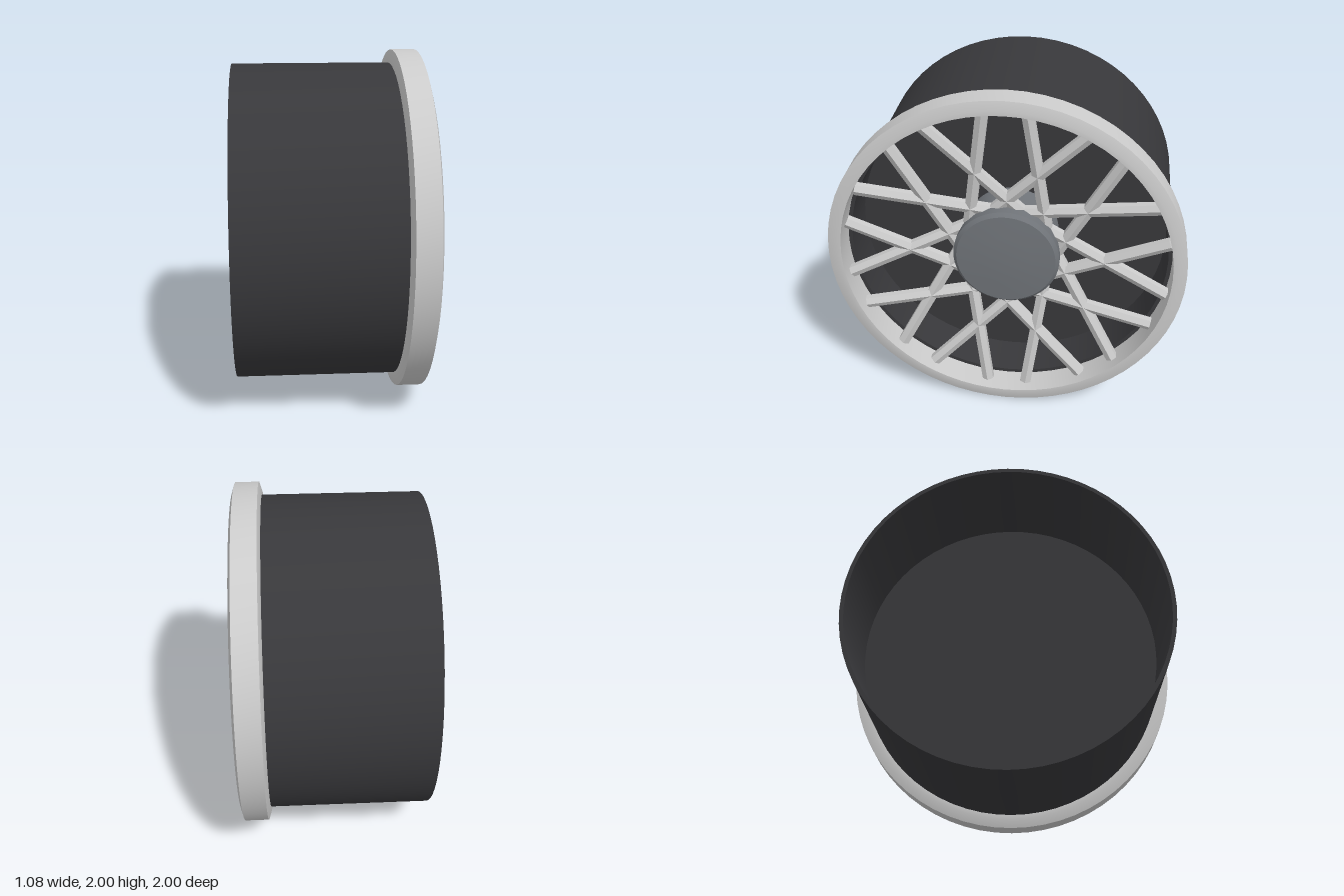
import * as THREE from 'three';
import { toCreasedNormals } from 'three/addons/utils/BufferGeometryUtils.js';

const paint = (color, flatShading = false) =>
  new THREE.MeshStandardMaterial({ color, flatShading });

// Turns a closed or open [x, radius] profile around the wheel axle (the x axis)
function turned(name, profile, material, segments = 64) {
  const points = profile.map(([x, r]) => new THREE.Vector2(r, x));
  const lathe = new THREE.LatheGeometry(points, segments);
  lathe.rotateZ(-Math.PI / 2);
  const mesh = new THREE.Mesh(toCreasedNormals(lathe, 0.45), material);
  mesh.name = name;
  return mesh;
}

// Six-sided bar between two points, one flat side facing the outside (+x)
function bar(a, b, radius, material) {
  const along = b.clone().sub(a);
  const geometry = new THREE.CylinderGeometry(radius, radius, along.length(), 6);
  geometry.rotateY(Math.PI / 6);
  const y = along.clone().normalize();
  const z = new THREE.Vector3(1, 0, 0).cross(y).normalize();
  const x = y.clone().cross(z);
  geometry.applyMatrix4(new THREE.Matrix4().makeBasis(x, y, z));
  const mesh = new THREE.Mesh(geometry, material);
  mesh.position.copy(a).add(b).multiplyScalar(0.5);
  return mesh;
}

export function createModel() {
  const wheel = new THREE.Group();
  wheel.name = 'wheel';
  const dark = paint(0x38383b);
  const silver = paint(0xcccccc);
  const spokeSilver = paint(0xcccccc, true);
  const grey = paint(0x707479);

  const body = new THREE.Group();
  body.name = 'wheelBody';
  body.position.y = 1;
  wheel.add(body);

  // Open barrel
  body.add(turned('barrel', [
    [-0.54, 0.902], [-0.54, 0.925], [0.375, 0.925], [0.375, 0.902], [-0.54, 0.902],
  ], dark));

  // Chamfered outer rim
  body.add(turned('rim', [
    [0.37, 0.924], [0.37, 0.95], [0.385, 1], [0.52, 1], [0.535, 0.95],
    [0.535, 0.924], [0.37, 0.924],
  ], silver));

  // Back plate inside the barrel
  body.add(turned('backPlate', [[0.10, 0], [0.10, 0.894], [0.13, 0.894], [0.13, 0]], dark));

  // Hub and its cap
  body.add(turned('hub', [[0.12, 0], [0.12, 0.27], [0.37, 0.27], [0.37, 0]], grey));
  body.add(turned('hubCap', [
    [0.37, 0], [0.37, 0.3], [0.445, 0.3], [0.465, 0.28], [0.475, 0.15], [0.478, 0],
  ], grey));

  // Crossing spokes: ten leaning each way, offset from the axle
  const spokes = new THREE.Group();
  spokes.name = 'spokes';
  const offset = 0.24, outer = 0.92, inner = 0.27;
  for (let i = 0; i < 10; i++) {
    for (const side of [-1, 1]) {
      const middle = Math.PI / 2 + i * Math.PI / 5;
      const end = middle + side * THREE.MathUtils.degToRad(7.2);
      const foot = end + side * (Math.acos(offset / outer) - Math.acos(offset / inner));
      const at = (angle, r, x) =>
        new THREE.Vector3(x, Math.sin(angle) * r, -Math.cos(angle) * r);
      const spoke = bar(at(foot, inner, 0.36), at(end, outer, 0.445), 0.037, spokeSilver);
      spoke.name = 'spoke';
      spokes.add(spoke);
    }
  }
  body.add(spokes);

  return wheel;
}
